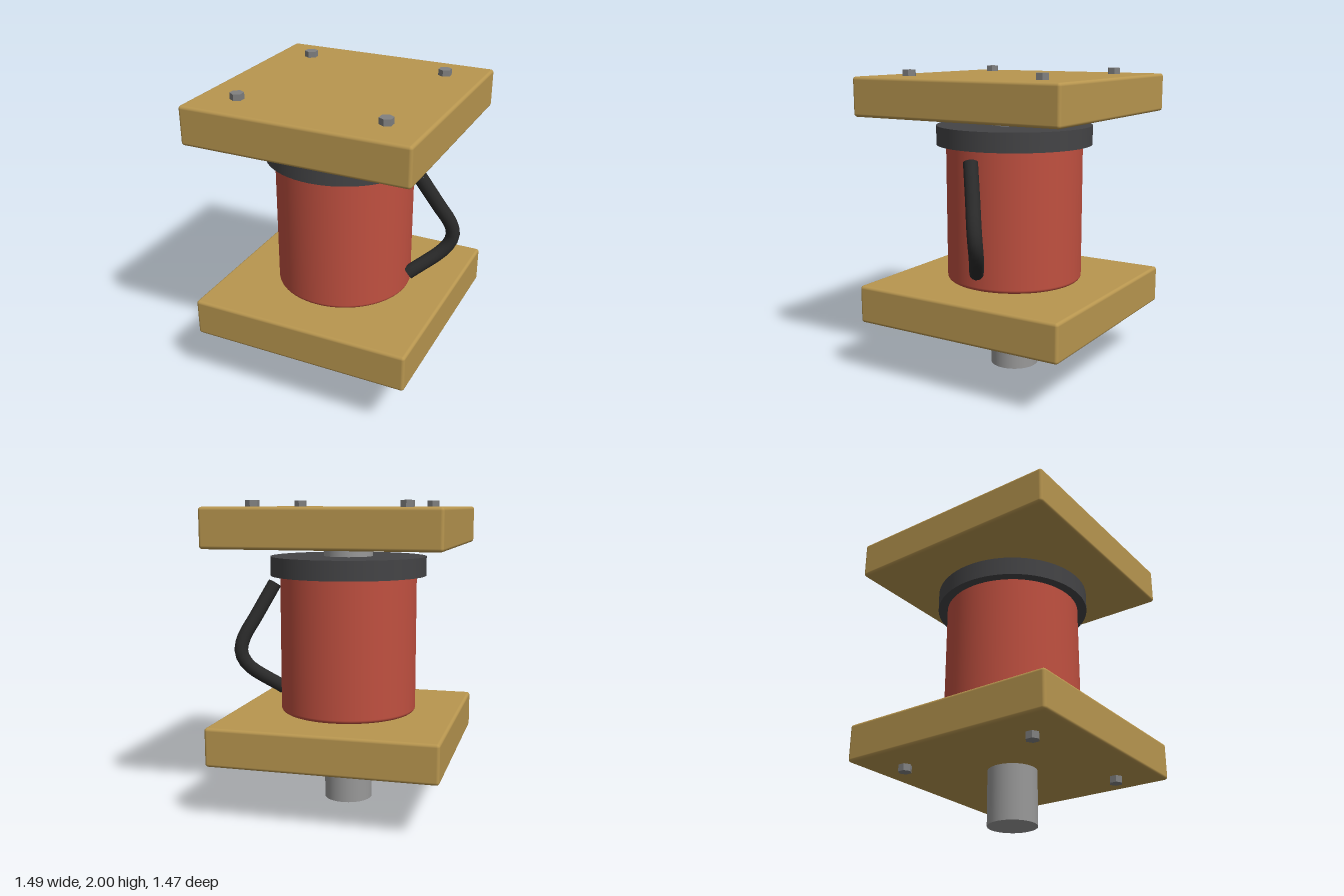
import * as THREE from 'three';
import { RoundedBoxGeometry } from 'three/addons/geometries/RoundedBoxGeometry.js';

const paint = (color, extra = {}) => new THREE.MeshStandardMaterial({ color, ...extra });

export function createModel() {
  const model = new THREE.Group();
  const brass = paint(0xb8964f);
  const red = paint(0xc05040);
  const charcoal = paint(0x444446);
  const black = paint(0x2a2a2a);
  const steel = paint(0x999999);
  const boltSteel = paint(0x808080, { flatShading: true });
  const axis = -0.01; // x of the central axis

  const add = (name, geometry, material, x, y, z) => {
    const mesh = new THREE.Mesh(geometry, material);
    mesh.name = name;
    mesh.position.set(x, y, z);
    model.add(mesh);
    return mesh;
  };

  // Square end plates with slightly rounded edges
  const plate = new RoundedBoxGeometry(1.47, 0.25, 1.47, 3, 0.02);
  add('lowerPlate', plate, brass, axis, 0.485, 0);
  add('upperPlate', plate, brass, axis, 1.835, 0);

  // Central shaft running through the body
  add('shaft', new THREE.CylinderGeometry(0.16, 0.16, 1.8, 48), steel, axis, 0.9, 0);

  // Cylindrical body with a rounded lower and upper rim
  const outline = new THREE.Path();
  outline.moveTo(0, 0.612);
  outline.lineTo(0.425, 0.612);
  outline.absarc(0.425, 0.637, 0.025, -Math.PI / 2, 0, false);
  outline.lineTo(0.45, 1.515);
  outline.absarc(0.425, 1.515, 0.025, 0, Math.PI / 2, false);
  outline.lineTo(0, 1.54);
  add('body', new THREE.LatheGeometry(outline.getPoints(5), 64), red, axis, 0, 0);

  // Collar on top of the body
  add('collar', new THREE.CylinderGeometry(0.513, 0.513, 0.125, 64), charcoal, axis, 1.578, 0);

  // Hex bolts: heads above the upper plate, nuts below the lower one
  const hex = new THREE.CylinderGeometry(0.044, 0.044, 0.08, 6);
  for (const sx of [-1, 1]) {
    for (const sz of [-1, 1]) {
      const x = axis + sx * 0.482, z = sz * 0.482;
      add('boltHead', hex, boltSteel, x, 1.96, z);
      add('boltNut', hex, boltSteel, x, 0.355, z);
    }
  }

  // Bent cable beside the body
  const path = new THREE.CatmullRomCurve3([
    [0.505, 1.45, 0], [0.61, 1.235, -0.085], [0.683, 1.085, -0.142],
    [0.695, 0.995, -0.157], [0.655, 0.905, -0.137], [0.45, 0.735, 0],
  ].map((p) => new THREE.Vector3(...p)));
  const radius = 0.046;
  add('cable', new THREE.TubeGeometry(path, 20, radius, 14), black, 0, 0, 0);
  for (const t of [0, 1]) {
    const p = path.getPointAt(t);
    const out = path.getTangentAt(t).multiplyScalar(t ? 1 : -1);
    const cap = add('cableEnd', new THREE.CircleGeometry(radius, 14), black, p.x, p.y, p.z);
    cap.quaternion.setFromUnitVectors(new THREE.Vector3(0, 0, 1), out);
  }

  return model;
}
